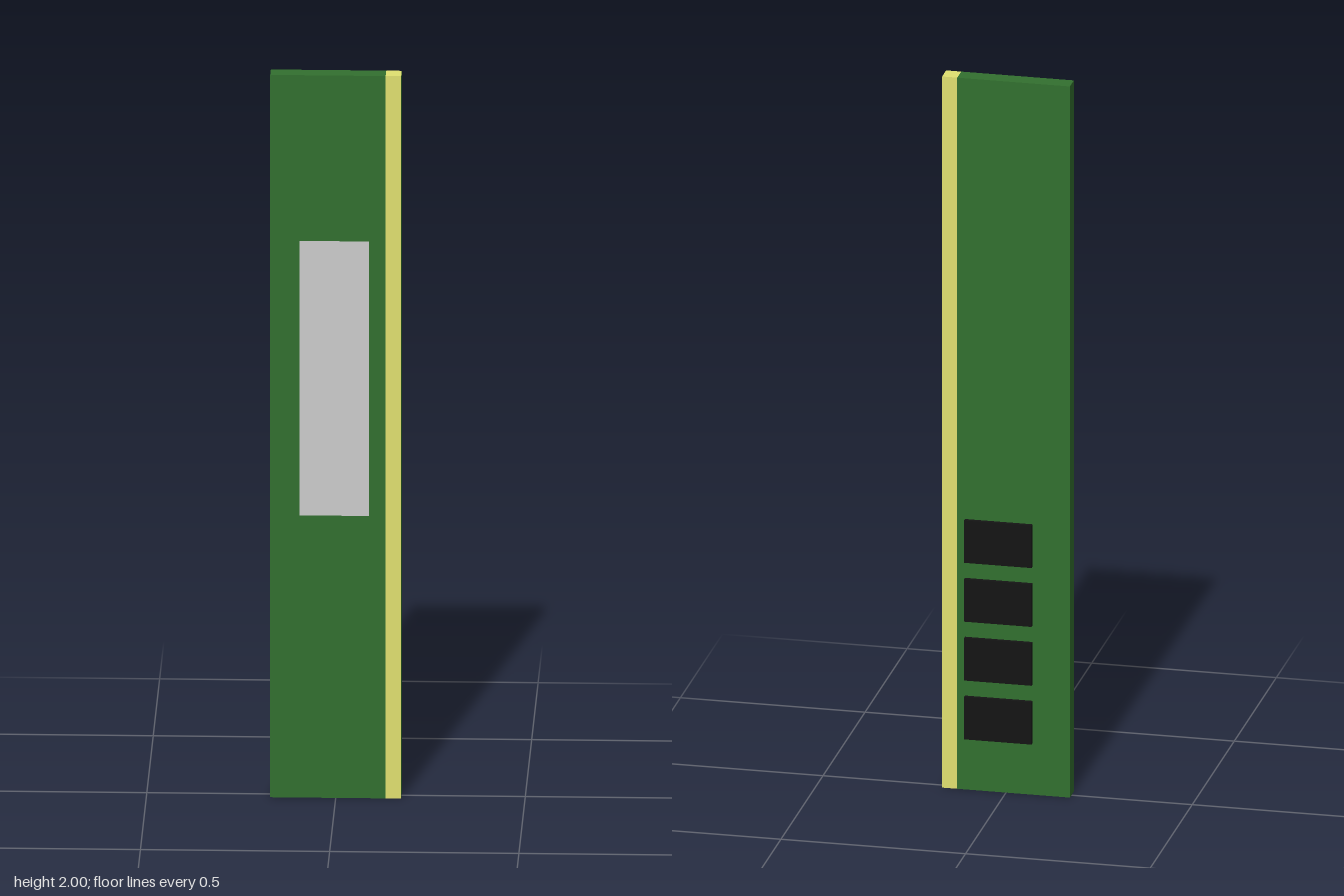
import * as THREE from 'three';

export function createModel() {
  const group = new THREE.Group();
  const material = (color) => new THREE.MeshStandardMaterial({ color });
  const green = material(0x32702f);
  const gold = material(0xe0e070);
  const black = material(0x141414);
  const grey = material(0xcccccc);
  grey.side = THREE.DoubleSide;

  // Box given by its lower and upper corners
  function box(name, [x0, y0, z0], [x1, y1, z1], mat) {
    const mesh = new THREE.Mesh(new THREE.BoxGeometry(x1 - x0, y1 - y0, z1 - z0), mat);
    mesh.position.set((x0 + x1) / 2, (y0 + y1) / 2, (z0 + z1) / 2);
    mesh.name = name;
    group.add(mesh);
  }

  const back = -0.019, front = 0.029, half = 0.173, seam = 0.132;

  // Circuit board
  box('board', [-half, 0, back], [seam, 2, front], green);

  // Gold contact strip along one long edge; its outer edge face stays green
  box('contactStrip', [seam, 0, back], [half, 2, front], [green, gold, gold, gold, gold, gold]);

  // Row of memory chips on the back
  for (let i = 0; i < 4; i++) {
    const y = 0.145 + i * 0.1655;
    box('chip' + (i + 1), [-0.072, y, -0.031], [0.111, y + 0.119, back], black);
  }

  // Thin sticker on the front
  const label = new THREE.Mesh(new THREE.PlaneGeometry(0.183, 0.76), grey);
  label.position.set(-0.004, 1.162, 0.031);
  label.name = 'label';
  group.add(label);

  return group;
}
